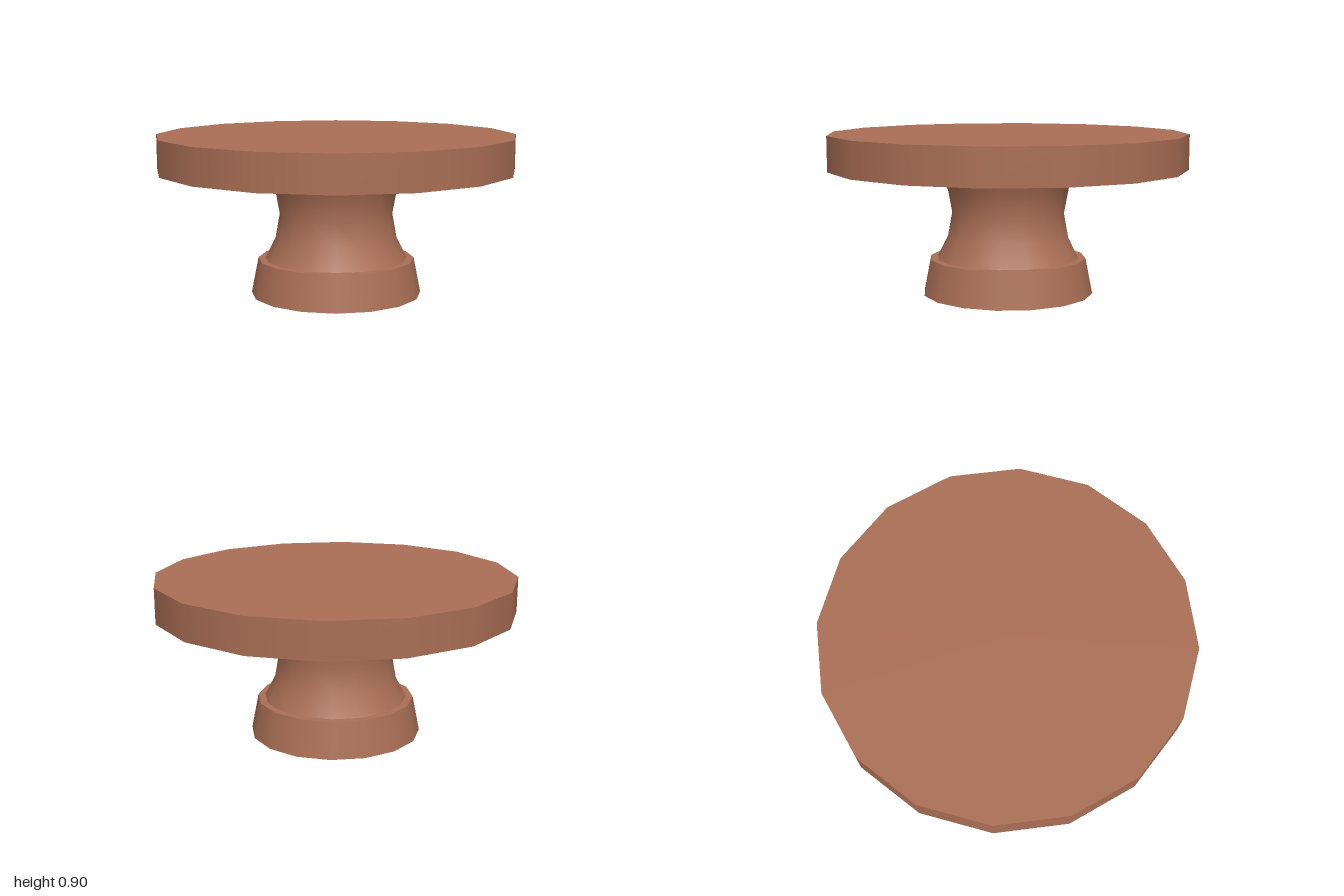
import * as THREE from 'three';

const SIDES = 16;

export function createModel() {
  const model = new THREE.Group();
  model.name = 'pedestalTable';

  const clay = new THREE.MeshStandardMaterial({ color: 0xab6f55, side: THREE.DoubleSide });
  clay.name = 'terracotta';

  const add = (name, geometry, y = 0) => {
    const mesh = new THREE.Mesh(geometry, clay);
    mesh.name = name;
    mesh.position.y = y;
    model.add(mesh);
  };

  // Round top slab
  add('tableTop', new THREE.CylinderGeometry(1, 1, 0.195, SIDES), 0.8025);

  // Waisted neck between slab and foot
  const profile = [[0.4, 0.2], [0.342, 0.315], [0.317, 0.4525], [0.342, 0.59], [0.4, 0.705]];
  add('neck', new THREE.LatheGeometry(profile.map(([r, y]) => new THREE.Vector2(r, y)), SIDES));

  // Flared foot, hollow underneath and closed by a disc on top
  add('footSkirt', new THREE.CylinderGeometry(0.44, 0.48, 0.2, SIDES, 1, true), 0.1);
  add('footCover', new THREE.CircleGeometry(0.44, SIDES).rotateX(-Math.PI / 2), 0.2);

  return model;
}
